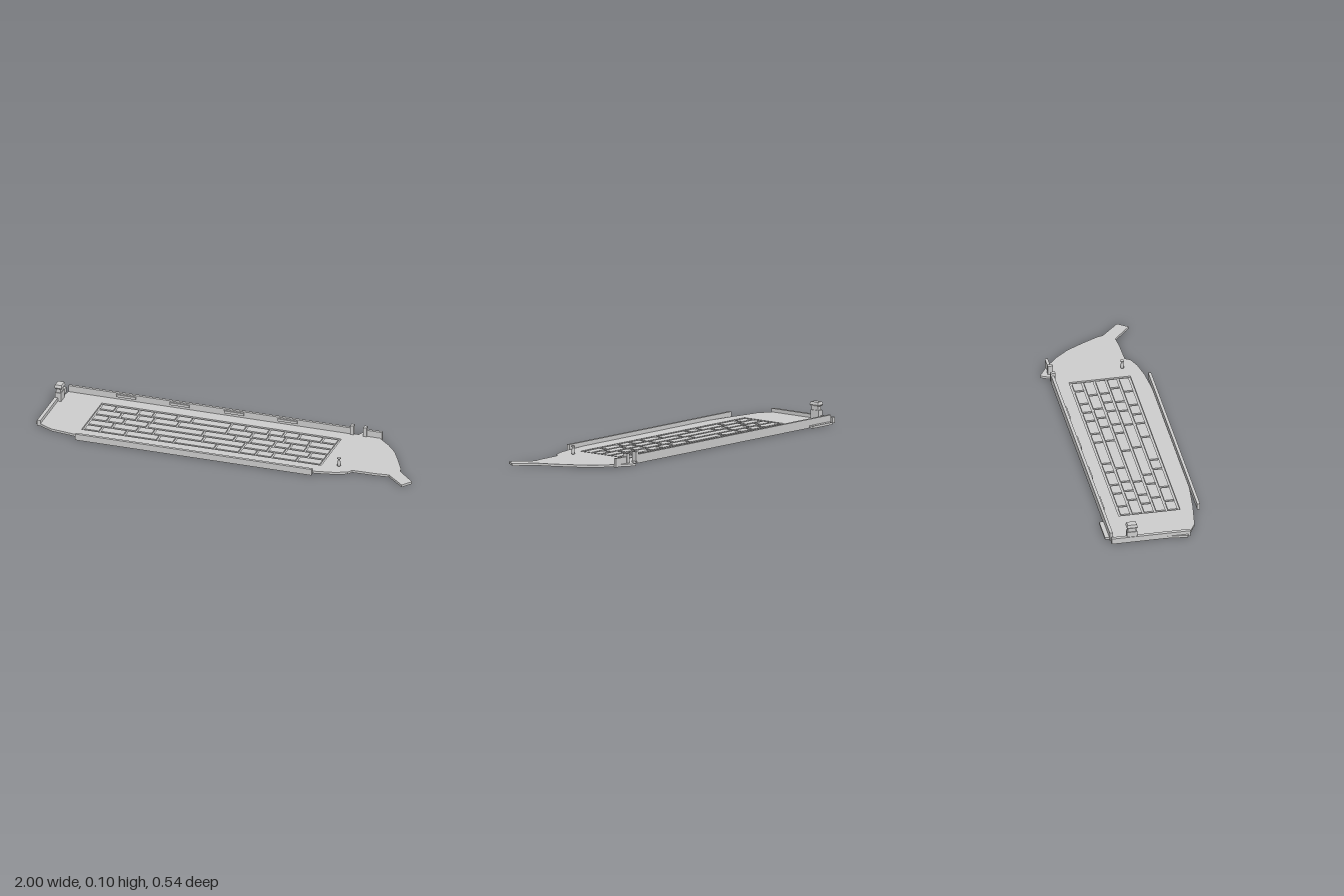
import * as THREE from 'three';

export function createModel() {
  const model = new THREE.Group();
  const mat = new THREE.MeshStandardMaterial({ color: 0xcccccc, flatShading: true });
  const smooth = new THREE.MeshStandardMaterial({ color: 0xcccccc });

  const add = (name, geo, material = mat) => {
    const mesh = new THREE.Mesh(geo, material);
    mesh.name = name;
    model.add(mesh);
    return mesh;
  };
  // Box given by its limits on each axis
  const box = (name, x0, x1, y0, y1, z0, z1) => {
    const geo = new THREE.BoxGeometry(x1 - x0, y1 - y0, z1 - z0);
    return add(name, geo.translate((x0 + x1) / 2, (y0 + y1) / 2, (z0 + z1) / 2));
  };
  const T = 0.012; // plate thickness

  // Base plate with a pointed fin at the back and a spout at the right end
  const outline = [
    [-1, 0.16], [-0.957, 0.185], [-0.9, 0.215], [-0.74, 0.238], [-0.57, 0.255],
    [0.38, 0.255], [0.51, 0.243], [0.6, 0.225], [0.66, 0.2], [0.675, 0.175],
    [0.8, 0.172], [0.865, 0.165], [0.962, 0.252], [1, 0.2], [0.908, 0.11],
    [0.9, 0.08], [0.86, 0], [0.81, -0.09], [0.755, -0.155], [0.68, -0.222],
    [0.6, -0.273], [0.575, -0.22], [-0.955, -0.22], [-0.985, 0.03],
  ];
  const P = { x0: -0.755, x1: 0.51, z0: -0.143, z1: 0.17 }; // panel recess
  const toShape = (pts) => pts.map(([x, z]) => new THREE.Vector2(x, -z));
  const shape = new THREE.Shape(toShape(outline));
  shape.holes.push(new THREE.Path(toShape([
    [P.x0, P.z0], [P.x1, P.z0], [P.x1, P.z1], [P.x0, P.z1],
  ])));
  const plate = new THREE.ExtrudeGeometry(shape, { depth: T, bevelEnabled: false });
  add('basePlate', plate.rotateX(-Math.PI / 2));
  box('recessFloor', P.x0, P.x1, 0, 0.004, P.z0, P.z1);

  // Tiles in the recess, separated by narrow grooves: relative widths for each row
  const rows = [
    [2, 3, 2, 3, 2, 5, 2, 3, 2, 2, 3, 2],
    [3, 2, 2, 3, 6, 3, 2, 2, 3, 3],
    [2, 2, 3, 7, 4, 2, 3, 2, 2, 3],
    [3, 3, 2, 6, 5, 3, 2, 3, 2],
    [2, 3, 4, 2, 5, 3, 2, 2, 3, 3],
  ];
  const gap = 0.012;
  const rowDepth = (P.z1 - P.z0 - gap) / rows.length;
  rows.forEach((widths, r) => {
    const unit = (P.x1 - P.x0 - gap) / widths.reduce((a, b) => a + b, 0);
    const z = P.z0 + gap + r * rowDepth;
    let x = P.x0 + gap;
    for (const w of widths) {
      box('panelTile', x, x + w * unit - gap, 0.004, 0.011, z, z + rowDepth - gap);
      x += w * unit;
    }
  });

  // Rails along the long edges and the left end
  box('backRail', -0.955, 0.54, 0, 0.045, -0.228, -0.213);
  box('backRailEnd', 0.61, 0.7, 0, 0.045, -0.228, -0.213);
  box('frontRail', -0.755, 0.492, 0, 0.033, 0.257, 0.272);
  box('leftRail', -0.988, -0.97, 0, 0.03, -0.225, 0.177);
  box('backTab', -0.94, -0.79, 0, T, -0.25, -0.225);

  // Posts either side of the rail gap
  for (const x of [0.543, 0.612]) {
    box('railPost', x - 0.009, x + 0.009, T, 0.06, -0.232, -0.206);
  }

  // Small clips inside the back rail
  for (const x of [-0.65, -0.367, -0.08, 0.203]) {
    box('railClip', x - 0.052, x + 0.052, 0.025, 0.038, -0.214, -0.206);
  }

  // Latch: column, neck and a faceted cap
  const lx = -0.969, lz = -0.12;
  box('latchColumn', lx - 0.016, lx + 0.016, 0, 0.057, lz - 0.026, lz + 0.026);
  box('latchNeck', lx - 0.012, lx + 0.012, 0.057, 0.078, lz - 0.021, lz + 0.021);
  const frustum = (name, y0, y1, bottom, top) => {
    const s = Math.SQRT1_2;
    const geo = new THREE.CylinderGeometry(top / s, bottom / s, y1 - y0, 4).rotateY(Math.PI / 4);
    geo.scale(0.72, 1, 1).translate(lx, (y0 + y1) / 2, lz);
    add(name, geo);
  };
  frustum('latchCapLower', 0.076, 0.084, 0.021, 0.028);
  frustum('latchCapUpper', 0.084, 0.099, 0.028, 0.023);

  // Turned peg with a flanged head
  const profile = [
    [0, T], [0.009, T], [0.0085, 0.022], [0.006, 0.042], [0.006, 0.048],
    [0.01, 0.052], [0.01, 0.055], [0, 0.055],
  ].map(([r, y]) => new THREE.Vector2(r, y));
  add('peg', new THREE.LatheGeometry(profile, 20), smooth).position.set(0.595, 0, 0.145);

  return model;
}
